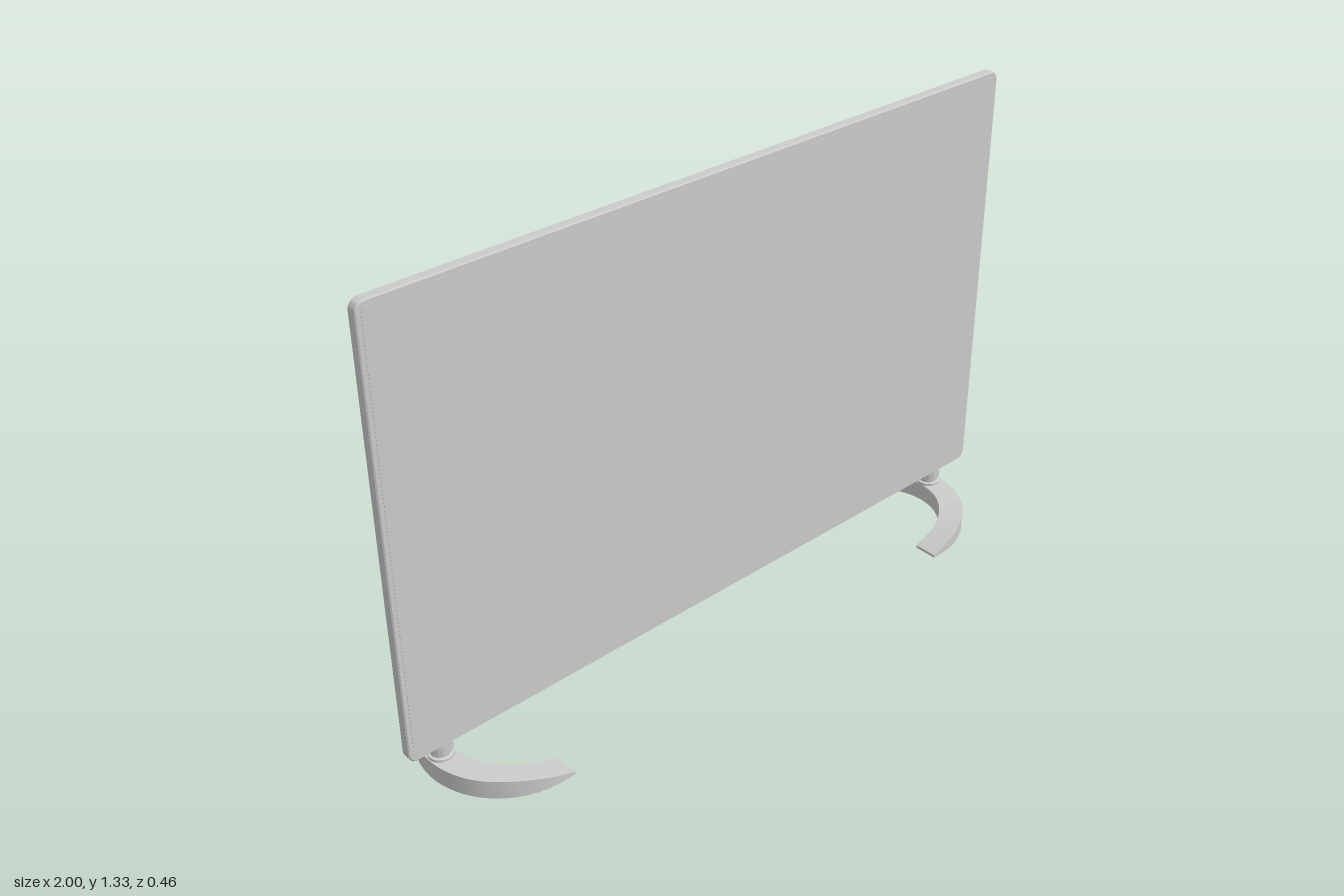
import * as THREE from 'three';
import { toCreasedNormals } from 'three/addons/utils/BufferGeometryUtils.js';

const material = new THREE.MeshStandardMaterial({ color: 0xcccccc });
const openMaterial = new THREE.MeshStandardMaterial({ color: 0xcccccc, side: THREE.DoubleSide });

function addMesh(parent, name, geometry, mat = material) {
  const mesh = new THREE.Mesh(geometry, mat);
  mesh.name = name;
  parent.add(mesh);
  return mesh;
}

// Skin a row of equal cross-sections, counter-clockwise about the row's direction, and cap both ends
function skin(rings, closed) {
  const n = rings[0].length;
  const index = [];
  for (let i = 0; i < rings.length - 1; i++) {
    for (let j = 0; j < (closed ? n : n - 1); j++) {
      const a = i * n + j, b = i * n + (j + 1) % n;
      index.push(a, b, b + n, a, b + n, a + n);
    }
  }
  const last = (rings.length - 1) * n;
  for (let j = 1; j < n - 1; j++) {
    index.push(0, j + 1, j, last, last + j, last + j + 1);
  }
  const geometry = new THREE.BufferGeometry().setFromPoints(rings.flat());
  geometry.setIndex(index);
  return toCreasedNormals(geometry, 0.5);
}

// Rounded rectangle of half size w by h around height cy, at depth z
function roundedRing(w, h, r, cy, z) {
  const points = [];
  [[1, 1], [-1, 1], [-1, -1], [1, -1]].forEach(([sx, sy], k) => {
    for (let i = 0; i <= 6; i++) {
      const a = (k + i / 6) * Math.PI / 2;
      points.push(new THREE.Vector3(
        sx * (w - r) + r * Math.cos(a), cy + sy * (h - r) + r * Math.sin(a), z));
    }
  });
  return points;
}

// Crescent foot, open underneath, its top sloping down to both tips
function footGeometry() {
  const cx = 0.695, outer = 0.231, inner = 0.163, tip = 0.66;
  const height = (x) => {
    const t = Math.min(1, (x - tip) / 0.2);
    return 0.008 + 0.045 * Math.sin(t * Math.PI / 2);
  };
  const section = (xo, zo, xi, zi) => [
    new THREE.Vector3(xo, 0, zo), new THREE.Vector3(xo, height(xo), zo),
    new THREE.Vector3(xi, height(xi), zi), new THREE.Vector3(xi, 0, zi)];
  const rings = [section(tip, -outer, tip, -inner)];
  for (let i = 0; i <= 32; i++) {
    const a = (i / 32 - 0.5) * Math.PI;
    const c = Math.cos(a), s = Math.sin(a);
    rings.push(section(cx + outer * c, outer * s, cx + inner * c, inner * s));
  }
  rings.push(section(tip, outer, tip, inner));
  return skin(rings, false);
}

// Round post with a grooved neck and a tapered top
function postGeometry() {
  const profile = [[0, 0.003], [0.026, 0.003], [0.026, 0.052], [0.034, 0.054], [0.034, 0.061],
    [0.027, 0.063], [0.027, 0.069], [0.032, 0.073], [0.032, 0.36], [0.029, 0.385],
    [0.024, 0.41], [0.017, 0.438], [0.012, 0.445], [0, 0.446]];
  const lathe = new THREE.LatheGeometry(profile.map(([r, y]) => new THREE.Vector2(r, y)), 28);
  return toCreasedNormals(lathe, 0.5);
}

export function createModel() {
  const model = new THREE.Group();
  model.name = 'flatScreen';
  const cy = 0.7225;

  // Thin panel with a chamfered back edge
  addMesh(model, 'panel', skin([
    roundedRing(0.985, 0.597, 0.02, cy, 0),
    roundedRing(1, 0.612, 0.026, cy, 0.014),
    roundedRing(1, 0.612, 0.026, cy, 0.037),
    roundedRing(0.997, 0.609, 0.024, cy, 0.04),
  ], true));

  // Display surface on the front
  addMesh(model, 'screen', skin([
    roundedRing(0.986, 0.598, 0.012, cy, 0.038),
    roundedRing(0.986, 0.598, 0.012, cy, 0.041),
  ], true));

  // Raised housing on the back with sloping sides
  addMesh(model, 'backHousing', skin([
    roundedRing(0.77, 0.488, 0.03, cy, -0.02),
    roundedRing(0.8, 0.512, 0.04, cy, 0.002),
  ], true));

  // Two identical stands, turned to face each other
  ['leftStand', 'rightStand'].forEach((name, i) => {
    const stand = new THREE.Group();
    stand.name = name;
    stand.rotation.y = i * Math.PI;
    addMesh(stand, 'foot', footGeometry(), openMaterial);
    addMesh(stand, 'post', postGeometry()).position.x = 0.89;
    model.add(stand);
  });

  return model;
}
